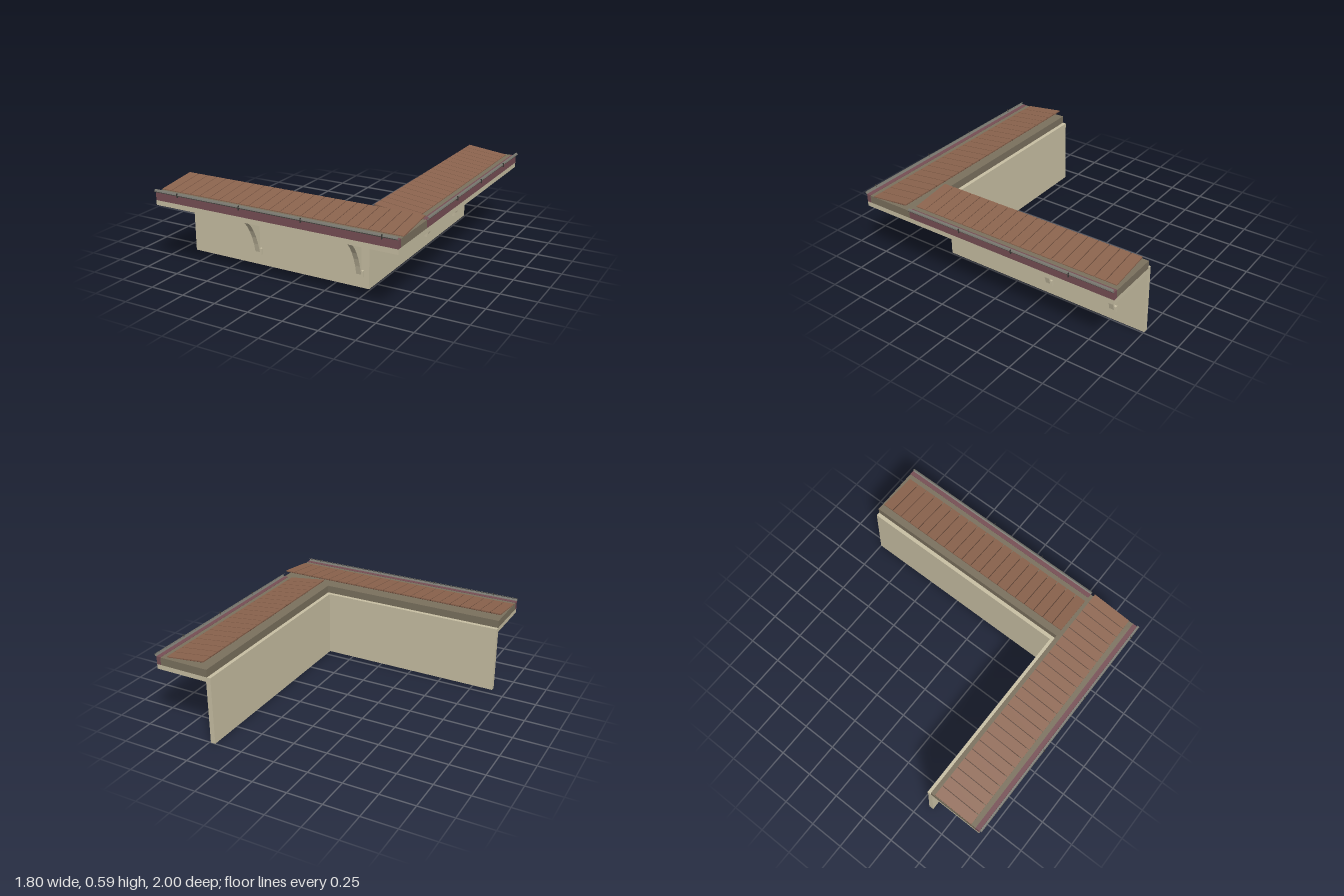
import * as THREE from 'three';

const mat = (name, color) => {
  const m = new THREE.MeshStandardMaterial({ color });
  m.name = name;
  return m;
};

export function createModel() {
  const plaster = mat('plaster', 0xc9c0a4);
  const core = mat('roofCore', 0x7b715e);
  const maroon = mat('maroonFascia', 0x774f55);
  const wood = mat('roofWood', 0x8c644e);
  const darkWood = mat('darkGap', 0x553d30);
  const metal = mat('gutterMetal', 0x74736b);
  const iron = mat('darkIron', 0x3b3935);

  const model = new THREE.Group();
  model.name = 'cornerEave';

  const add = (parent, name, geometry, material) => {
    const mesh = new THREE.Mesh(geometry, material);
    mesh.name = name;
    parent.add(mesh);
    return mesh;
  };
  const box = (parent, name, material, x0, x1, y0, y1, z0, z1) => {
    const mesh = add(parent, name, new THREE.BoxGeometry(x1 - x0, y1 - y0, z1 - z0), material);
    mesh.position.set((x0 + x1) / 2, (y0 + y1) / 2, (z0 + z1) / 2);
    return mesh;
  };

  // Horizontal L-shaped slab with optional rectangular holes
  const slab = (name, material, ix, iz, ox, oz, y0, y1, holes = []) => {
    const shape = new THREE.Shape([
      [-0.9, iz], [ix, iz], [ix, -1], [ox, -1], [ox, oz], [-0.9, oz],
    ].map(([x, z]) => new THREE.Vector2(x, z)));
    for (const [x, z, w, d] of holes) {
      shape.holes.push(new THREE.Path([
        [-1, -1], [-1, 1], [1, 1], [1, -1],
      ].map(([a, b]) => new THREE.Vector2(x + a * w / 2, z + b * d / 2))));
    }
    const g = new THREE.ExtrudeGeometry(shape, { depth: y1 - y0, bevelEnabled: false });
    g.rotateX(Math.PI / 2).translate(0, y1, 0);
    add(model, name, g, material);
  };

  // Soffit vents: x, z, width, depth
  const vents = [
    [0.7, 0.21, 0.075, 0.105], [0.7, -0.59, 0.075, 0.105],
    [0.03, 0.8, 0.105, 0.075], [-0.65, 0.8, 0.105, 0.075],
  ];
  slab('walls', plaster, 0.455, 0.56, 0.49, 0.595, 0, 0.456);
  slab('soffit', plaster, 0.455, 0.556, 0.88, 0.98, 0.456, 0.49, vents);
  slab('roofDeck', core, 0.482, 0.585, 0.848, 0.948, 0.49, 0.545);
  box(model, 'roofDeckEnd', core, 0.848, 0.88, 0.49, 0.545, 0.592, 0.948);
  for (const [x, z, w, d] of vents) {
    box(model, 'ventPanel', iron, x - w / 2, x + w / 2, 0.481, 0.489, z - d / 2, z + d / 2);
  }

  // Outline in (outward, up) swept along x from u0 to u1
  const sweep = (shape, u0, u1) => {
    const g = new THREE.ExtrudeGeometry(shape, {
      depth: u1 - u0, bevelEnabled: false, curveSegments: 9,
    });
    return g.rotateY(-Math.PI / 2).translate(u1, 0, 0);
  };
  const outline = (points) => new THREE.Shape(points.map(([d, y]) => new THREE.Vector2(d, y)));

  const bracketShape = new THREE.Shape();
  bracketShape.moveTo(0.61, 0.1);
  bracketShape.lineTo(0.616, 0.1);
  bracketShape.quadraticCurveTo(0.68, 0.395, 0.905, 0.435);
  bracketShape.lineTo(0.925, 0.435);
  bracketShape.lineTo(0.925, 0.456);
  bracketShape.lineTo(0.61, 0.456);

  const gutterShape = outline([
    [0.98, 0.544], [0.991, 0.549], [0.996, 0.556], [0.992, 0.563], [0.982, 0.568],
    [0.981, 0.566], [0.99, 0.561], [0.994, 0.556], [0.99, 0.551], [0.98, 0.547],
  ]);

  // One run of eave, facing +z
  const eave = (name, u0, u1, w0, w1, slats, brackets, hooks) => {
    const run = new THREE.Group();
    run.name = name;
    model.add(run);

    // Fascia, gutter and its hooks
    box(run, 'fascia', maroon, u0, u1, 0.49, 0.547, 0.948, 0.98);
    add(run, 'gutter', sweep(gutterShape, u0, u1), metal);
    for (const u of hooks) {
      box(run, 'gutterHook', iron, u - 0.002, u + 0.002, 0.54, 0.57, 0.99, 1);
    }

    // Sloping slatted roof over a dark underlay
    add(run, 'roofUnderlay', sweep(outline([
      [0.623, 0.574], [0.89, 0.545], [0.89, 0.5485], [0.623, 0.5815],
    ]), w0 + 0.002, w1 - 0.002), darkWood);
    const step = (w1 - w0) / slats;
    const slatShape = outline([
      [0.62, 0.577], [0.913, 0.543], [0.913, 0.55], [0.62, 0.586],
    ]);
    for (let i = 0; i < slats; i++) {
      const a = w0 + i * step;
      add(run, 'roofSlat', sweep(slatShape,
        a + (i ? 0.0028 : 0), a + step - (i < slats - 1 ? 0.0028 : 0)), wood);
    }

    // Curved brackets with a foot block
    for (const u of brackets) {
      add(run, 'bracket', sweep(bracketShape, u - 0.018, u + 0.018), plaster);
      box(run, 'bracketFoot', plaster, u - 0.029, u + 0.029, 0.08, 0.125, 0.594, 0.614);
    }
    return run;
  };

  eave('frontEave', -0.9, 0.88, -0.9, 0.88, 23, [-0.357, 0.425], [-0.71, -0.225, 0.23, 0.78]);
  const side = eave('sideEave', -0.592, 1, -0.59, 0.975, 20, [0.27, 0.77], [-0.155, 0.26, 0.69]);
  side.rotation.y = Math.PI / 2;
  side.position.x = -0.1;

  return model;
}
